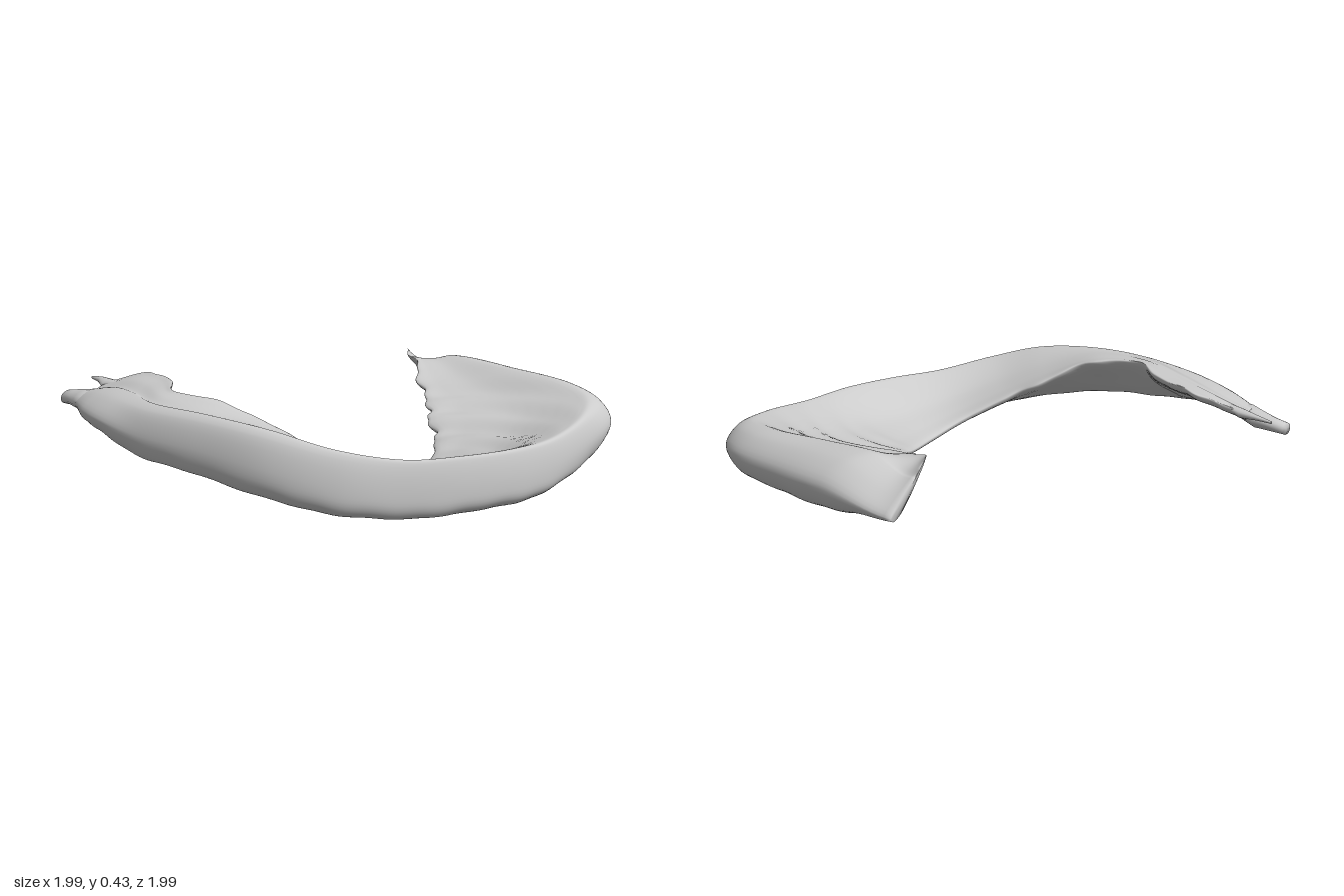
import * as THREE from 'three';
import { mergeVertices } from 'three/addons/utils/BufferGeometryUtils.js';

const { lerp, smoothstep } = THREE.MathUtils;
const V = (x, y, z) => new THREE.Vector3(x, y, z);

// Skin a list of closed rings of equal length, with capped ends
function loft(rings) {
  const n = rings[0].length, pos = [], idx = [];
  for (const ring of rings) for (const p of ring) pos.push(p.x, p.y, p.z);
  for (let i = 0; i < rings.length - 1; i++) {
    for (let j = 0; j < n; j++) {
      const k = (j + 1) % n, a = i * n + j, b = a + n, c = i * n + k, d = c + n;
      idx.push(a, b, c, b, d, c);
    }
  }
  for (const [row, flip] of [[0, false], [rings.length - 1, true]]) {
    const mid = rings[row].reduce((s, p) => s.add(p), V(0, 0, 0)).divideScalar(n);
    const c = pos.length / 3;
    pos.push(mid.x, mid.y, mid.z);
    for (let j = 0; j < n; j++) {
      const a = row * n + j, b = row * n + (j + 1) % n;
      idx.push(c, flip ? b : a, flip ? a : b);
    }
  }
  let g = new THREE.BufferGeometry();
  g.setAttribute('position', new THREE.Float32BufferAttribute(pos, 3));
  g.setIndex(idx);
  g = mergeVertices(g, 1e-5);
  g.computeVertexNormals();
  return g;
}

// Stations along the band, forked end first:
// outer x, z, inner x, z, bottom y, rim y, inner y, rim inset
const stations = [
  [-0.84, 0.835, -0.82, 0.63, 0.26, 0.345, 0.37, 0.45],
  [-0.62, 0.94, -0.66, 0.58, 0.25, 0.38, 0.42, 0.5],
  [-0.42, 0.99, -0.45, 0.61, 0.23, 0.395, 0.43, 0.45],
  [-0.15, 0.99, -0.20, 0.75, 0.18, 0.395, 0.42, 0.38],
  [0.15, 0.93, 0.02, 0.67, 0.15, 0.39, 0.39, 0.23],
  [0.45, 0.82, 0.19, 0.54, 0.085, 0.355, 0.29, 0.15],
  [0.65, 0.66, 0.35, 0.42, 0.035, 0.29, 0.19, 0.09],
  [0.80, 0.43, 0.47, 0.25, 0.00, 0.24, 0.10, 0.06],
  [0.91, 0.20, 0.49, 0.08, 0.00, 0.235, 0.06, 0.05],
  [0.98, -0.05, 0.44, -0.10, 0.00, 0.235, 0.07, 0.04],
  [0.985, -0.30, 0.37, -0.23, 0.01, 0.24, 0.11, 0.04],
  [0.95, -0.60, 0.28, -0.33, 0.05, 0.285, 0.15, 0.06],
  [0.88, -0.84, 0.20, -0.38, 0.09, 0.33, 0.20, 0.13],
  [0.71, -0.95, 0.11, -0.48, 0.12, 0.365, 0.24, 0.22],
  [0.40, -0.98, 0.00, -0.55, 0.14, 0.395, 0.30, 0.36],
  [0.10, -0.99, -0.11, -0.64, 0.17, 0.415, 0.38, 0.52],
  [-0.27, -0.95, -0.25, -0.73, 0.22, 0.39, 0.43, 0.65],
];

// Cross-section: outer wall up to the rim, dished floor to the thin inner
// edge, then back along the underside, which is fuller at the broad end
function section([ox, oz, ix, iz, yb, yr, yi, tr]) {
  const at = (t, y) => V(lerp(ox, ix, t), y, lerp(oz, iz, t));
  const h = yr - yb, floor = lerp(yr, yi, 0.5), dip = 0.12 * Math.max(0, yr - yi);
  const under = lerp(yb, yi - 0.03, 0.5), belly = smoothstep(-oz, 0.3, 0.9);
  return [
    at(lerp(0.1, 0.22, belly), yb), at(lerp(0.02, 0.06, belly), yb + 0.15 * h),
    at(0, yb + lerp(0.45, 0.54, belly) * h), at(0.45 * tr, yb + 0.88 * h),
    at(tr, yr), at(tr + 0.06, yr - 0.004),
    at(lerp(tr, 1, 0.45), Math.max(floor - dip, under + 0.025)),
    at(lerp(tr, 1, 0.78), lerp(yr, yi, 0.8) - dip * 0.5),
    at(1, yi), at(0.97, yi - 0.025), at(0.6, under + 0.004 - 0.03 * belly),
    at(lerp(0.34, 0.4, belly), lerp(yb, under, lerp(0.4, 0.18, belly))),
  ];
}

function bandGeometry() {
  const sections = stations.map(section);
  const rails = sections[0].map((_, j) =>
    new THREE.CatmullRomCurve3(sections.map(s => s[j]), false, 'centripetal'));
  const steps = 180, rings = [], last = stations.length - 1;
  for (let i = 0; i <= steps; i++) {
    const s = i / steps * last;
    const pts = rails.map(r => r.getPoint(i / steps));
    // Ragged inner edge, fading at the middle of the bend
    const rag = 0.012 * (smoothstep(s, 9, 11) + 0.7 * (1 - smoothstep(s, 5, 7)));
    const cut = rag * (Math.sin(s * 4.7) + 0.6 * Math.sin(s * 9.1 + 1));
    const dir = pts[2].clone().sub(pts[8]).setY(0).normalize();
    for (const j of [8, 9]) pts[j].addScaledVector(dir, cut);
    // Slight unevenness of the outer wall
    for (const j of [0, 1]) pts[j].y += 0.004 * Math.sin(s * 6) * Math.sin(s * 2.3);
    // Thin the broad end down to a sloping sheet
    const thin = 0.6 * smoothstep(s, 15, 16), low = pts[0].y, high = pts[8].y;
    const outer = pts[2].clone(), span = outer.clone().sub(pts[8]).setY(0).length();
    for (const p of pts) {
      const t = outer.clone().sub(p).setY(0).length() / span;
      p.y = lerp(p.y, lerp(low, high, t), thin);
    }
    const ring = new THREE.CatmullRomCurve3(pts, true, 'centripetal').getPoints(60).slice(0, 60);
    // Arched ripples across the dished floor near the broad end
    const fade = smoothstep(s, 9, 10.5) * (1 - smoothstep(s, 13, 14.5));
    ring.forEach((p, k) => {
      const across = smoothstep(k, 24, 29) * (1 - smoothstep(k, 36, 40));
      p.y += 0.007 * fade * across * Math.sin(Math.hypot(p.x - 0.6, p.z) * 40);
      p.y = Math.max(0, p.y);
    });
    rings.push(ring);
  }
  return loft(rings);
}

// Tapered prong from tip to root; rows are x, y, z, half width, half height
function prongGeometry(rows) {
  return loft(rows.map(([x, y, z, w, h]) => Array.from({ length: 16 }, (_, k) => {
    const a = k / 16 * Math.PI * 2;
    return V(x, y + h * Math.sin(a), z + w * Math.cos(a) - 0.25 * w * Math.sin(a));
  })));
}

export function createModel() {
  const model = new THREE.Group();
  model.name = 'curvedShard';
  const material = new THREE.MeshStandardMaterial({ color: 0xcccccc, side: THREE.DoubleSide });
  const add = (name, geometry) => {
    const mesh = new THREE.Mesh(geometry, material);
    mesh.name = name;
    model.add(mesh);
  };
  add('curvedBand', bandGeometry());
  // Forked end
  add('outerProng', prongGeometry([
    [-1, 0.29, 0.77, 0.036, 0.03], [-0.94, 0.295, 0.765, 0.045, 0.034],
    [-0.86, 0.3, 0.77, 0.065, 0.042], [-0.8, 0.31, 0.785, 0.065, 0.04],
    [-0.7, 0.33, 0.78, 0.03, 0.01],
  ]));
  add('innerProng', prongGeometry([
    [-1, 0.362, 0.63, 0.006, 0.006], [-0.92, 0.362, 0.637, 0.017, 0.013],
    [-0.84, 0.355, 0.655, 0.035, 0.022], [-0.72, 0.375, 0.67, 0.02, 0.006],
  ]));
  return model;
}
